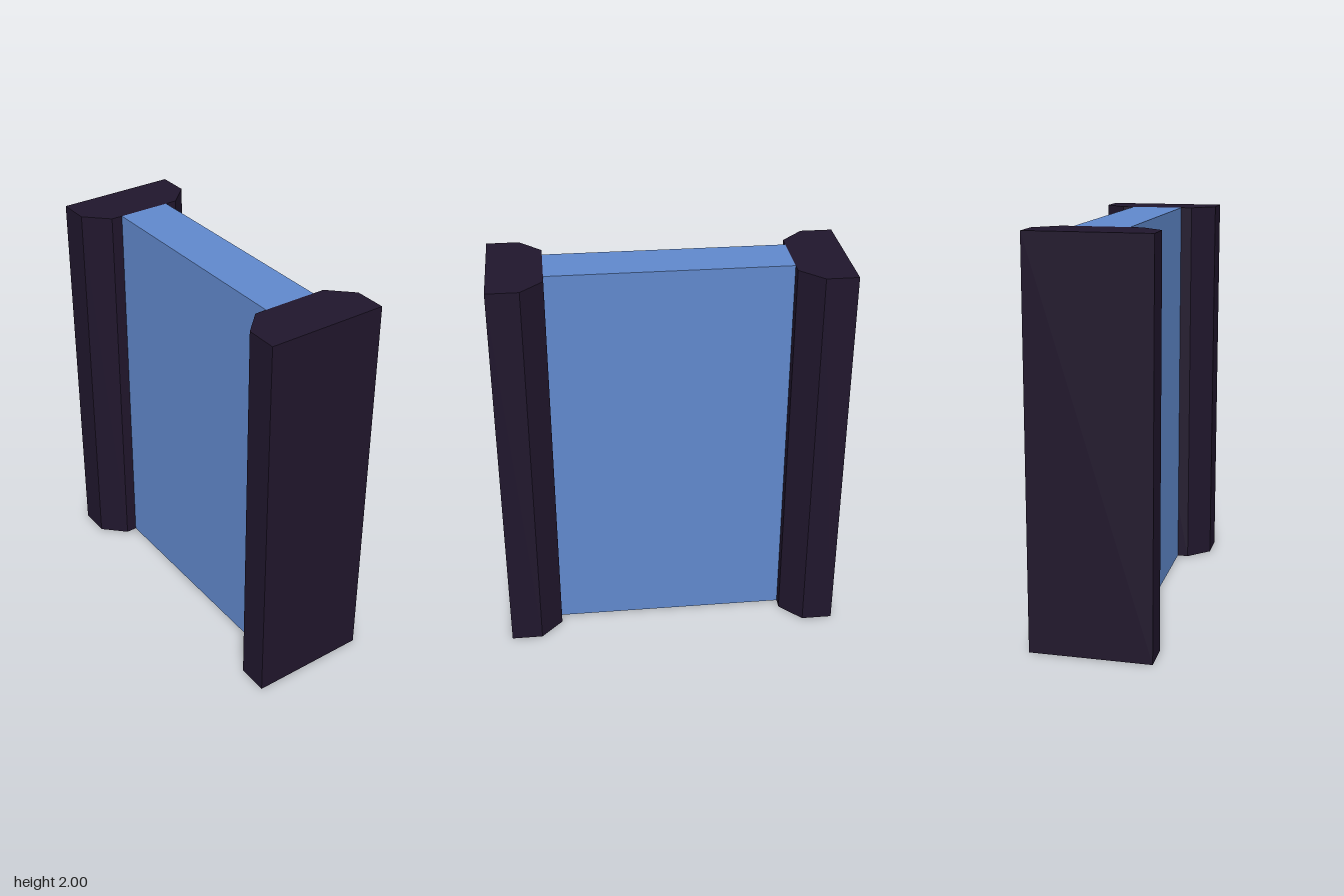
import * as THREE from 'three';

const HEIGHT = 2;
const INNER = 0.595; // half-width of the panel, where the posts begin

export function createModel() {
  const model = new THREE.Group();
  model.name = 'panelWithPosts';
  const blue = new THREE.MeshStandardMaterial({ color: 0x6088cc, flatShading: true });
  const dark = new THREE.MeshStandardMaterial({ color: 0x20162c, flatShading: true });

  // Central slab
  const panel = new THREE.Mesh(new THREE.BoxGeometry(INNER * 2, HEIGHT, 0.265), blue);
  panel.name = 'panel';
  panel.position.y = HEIGHT / 2;
  model.add(panel);

  // Post: plan outline with both inner corners chamfered, extruded upwards
  const outline = new THREE.Shape([
    [INNER, -0.19], [0.705, -0.302], [0.863, -0.302],
    [0.863, 0.302], [0.705, 0.302], [INNER, 0.19],
  ].map(([x, z]) => new THREE.Vector2(x, z)));
  const postGeometry = new THREE.ExtrudeGeometry(outline, { depth: HEIGHT, bevelEnabled: false });
  postGeometry.rotateX(-Math.PI / 2);

  // The second post is the first turned half round
  for (const [name, turn] of [['leftPost', 0], ['rightPost', Math.PI]]) {
    const post = new THREE.Mesh(postGeometry, dark);
    post.name = name;
    post.rotation.y = turn;
    model.add(post);
  }
  return model;
}
